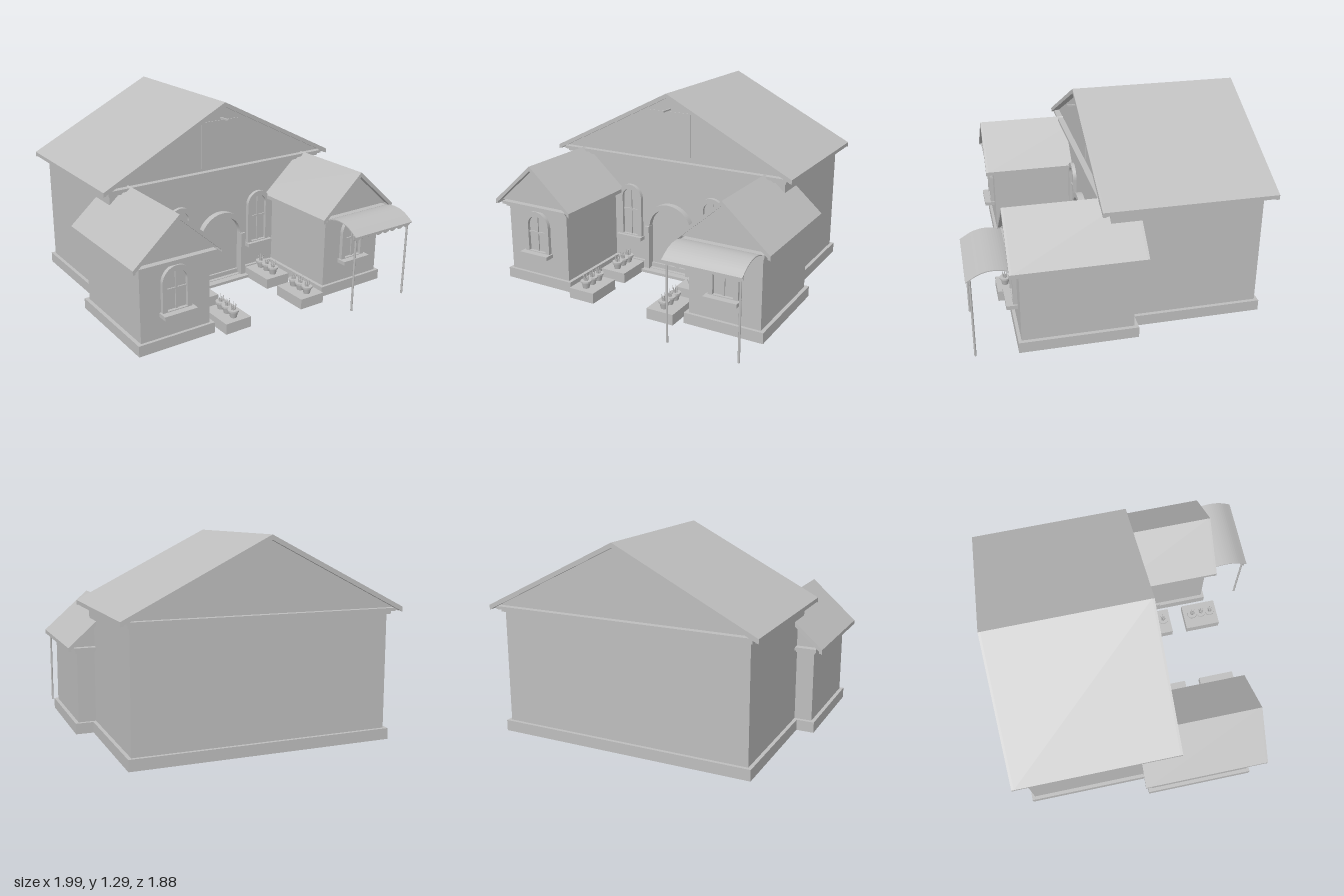
import * as THREE from 'three';

const stone = new THREE.MeshStandardMaterial({ color: 0xbebebe });
stone.name = 'plain grey';

function add(parent, name, geometry) {
  const mesh = new THREE.Mesh(geometry, stone);
  mesh.name = name;
  parent.add(mesh);
  return mesh;
}

// Box given by its two extreme corners
function box(parent, name, x0, x1, y0, y1, z0, z1) {
  const g = new THREE.BoxGeometry(x1 - x0, y1 - y0, z1 - z0);
  g.translate((x0 + x1) / 2, (y0 + y1) / 2, (z0 + z1) / 2);
  return add(parent, name, g);
}

// Shape extruded from z0 to z1
function slab(parent, name, shape, z0, z1, curveSegments = 16) {
  const g = new THREE.ExtrudeGeometry(shape, { depth: z1 - z0, bevelEnabled: false, curveSegments });
  g.translate(0, 0, z0);
  return add(parent, name, g);
}

const polygon = (pts) => new THREE.Shape(pts.map(([x, y]) => new THREE.Vector2(x, y)));

// Gable roof centred on x = 0: filled gable, two slopes, end boards and eave mouldings
function gableRoof(parent, o) {
  const chevron = (t) => polygon([
    [-o.half, o.eave], [-o.half, o.eave - t], [0, o.ridge - t],
    [o.half, o.eave - t], [o.half, o.eave], [0, o.ridge]]);
  const k = (o.ridge - o.eave) / o.half;
  const low = o.mouldTop - 0.005;
  const w = (o.ridge - 0.02 - low) / k;
  slab(parent, 'gable', polygon([[-w, low], [w, low], [0, o.ridge - 0.02]]), o.gableBack, o.gableFront);
  slab(parent, 'roofSlopes', chevron(0.022), o.back + 0.015, o.front - 0.015);
  for (const [z0, z1] of [[o.back, o.back + 0.02], [o.front - 0.02, o.front]]) {
    slab(parent, 'vergeBoard', chevron(0.03), z0, z1);
  }
  for (const s of [-1, 1]) {
    const x = s * (o.half - 0.009);
    box(parent, 'eaveEdge', x - 0.009, x + 0.009, o.eave - 0.025, o.eave, o.back, o.front);
  }
  const m = o.mouldHalf;
  box(parent, 'upperMoulding', -m, m, o.mouldTop - 0.02, o.mouldTop, o.back + 0.015, o.front - 0.015);
  box(parent, 'lowerMoulding', -m + 0.012, m - 0.012, o.mouldTop - 0.04, o.mouldTop - 0.018,
    o.back + 0.045, o.front - 0.04);
}

// Upright outline with a round top
function archOutline(Type, r, bottom, spring) {
  const p = new Type();
  p.moveTo(-r, bottom);
  p.lineTo(r, bottom);
  p.lineTo(r, spring);
  p.absarc(0, spring, r, 0, Math.PI, false);
  p.lineTo(-r, bottom);
  return p;
}

function archFrame(outer, inner, bottom, spring) {
  const s = archOutline(THREE.Shape, outer, bottom, spring);
  s.holes.push(archOutline(THREE.Path, inner, bottom + 0.005, spring));
  return s;
}

function archedWindow(o) {
  const g = new THREE.Group();
  g.name = 'archedWindow';
  slab(g, 'windowPane', archOutline(THREE.Shape, o.inner, o.bottom, o.spring), 0, 0.004);
  slab(g, 'windowFrame', archFrame(o.outer, o.inner, o.bottom, o.spring), 0, 0.025);
  box(g, 'verticalBar', -0.006, 0.006, o.bottom, o.spring + o.inner, 0, 0.012);
  box(g, 'crossBar', -o.inner, o.inner, o.bar - 0.006, o.bar + 0.006, 0, 0.012);
  box(g, 'windowSill', -o.sill, o.sill, o.bottom - 0.025, o.bottom, 0, o.sillDepth);
  return g;
}

function flowerPot() {
  const g = new THREE.Group();
  g.name = 'flowerPot';
  add(g, 'pot', new THREE.CylinderGeometry(0.031, 0.021, 0.042, 16).translate(0, 0.021, 0));
  add(g, 'potRim', new THREE.CylinderGeometry(0.036, 0.036, 0.011, 16).translate(0, 0.046, 0));
  for (let i = 0; i < 6; i++) {
    const leaf = new THREE.ConeGeometry(0.007, 0.05, 5).translate(0, 0.025, 0);
    leaf.rotateZ(-0.25).translate(0.008, 0.047, 0).rotateY(i * Math.PI / 3);
    add(g, 'leaf', leaf);
  }
  return g;
}

function wing(side) {
  const g = new THREE.Group();
  g.name = side > 0 ? 'leftWing' : 'rightWing';
  box(g, 'wingPlinth', -0.262, 0.262, 0, 0.07, -0.075, 0.66);
  box(g, 'wingWalls', -0.238, 0.238, 0.06, 0.545, -0.05, 0.64);
  gableRoof(g, {
    half: 0.305, eave: 0.57, ridge: 0.84, front: 0.7, back: -0.115,
    mouldHalf: 0.262, mouldTop: 0.562, gableFront: 0.645, gableBack: -0.055,
  });
  const win = archedWindow({ outer: 0.1, inner: 0.068, bottom: 0.235, spring: 0.42, bar: 0.37, sill: 0.112, sillDepth: 0.068 });
  win.position.z = 0.64;
  g.add(win);
  g.position.x = side * 0.692;
  return g;
}

// Curved canopy with a scalloped hem on two poles
function awning() {
  const g = new THREE.Group();
  g.name = 'awning';
  const x0 = 0.44, x1 = 0.94;
  const curve = new THREE.CatmullRomCurve3([
    [0.65, 0.545], [0.72, 0.575], [0.79, 0.583], [0.86, 0.568], [0.94, 0.522],
  ].map(([z, y]) => new THREE.Vector3(z, y, 0))).getPoints(20);
  const profile = polygon([
    ...curve.map((p) => [p.x, p.y]),
    ...curve.reverse().map((p) => [p.x, p.y - 0.006])]);
  const canopy = slab(g, 'canopy', profile, 0, x1 - x0);
  canopy.geometry.rotateY(-Math.PI / 2).translate(x1, 0, 0);

  const n = 8, step = (x1 - x0) / n;
  const hem = new THREE.Shape();
  hem.moveTo(x1, 0.528);
  hem.lineTo(x0, 0.528);
  hem.lineTo(x0, 0.5);
  for (let i = 0; i < n; i++) {
    const x = x0 + i * step;
    hem.quadraticCurveTo(x + step / 2, 0.473, x + step, 0.5);
  }
  slab(g, 'scallopedHem', hem, 0.918, 0.922, 6);
  for (const x of [0.463, 0.922]) {
    add(g, 'awningPole', new THREE.CylinderGeometry(0.007, 0.007, 0.53, 10).translate(x, 0.265, 0.915));
  }
  return g;
}

function entrance() {
  const g = new THREE.Group();
  g.name = 'entrance';
  slab(g, 'door', archOutline(THREE.Shape, 0.146, 0.035, 0.34), 0, 0.006, 24);
  slab(g, 'doorArch', archFrame(0.18, 0.146, 0.035, 0.34), 0, 0.045, 24);
  for (const s of [-1, 1]) {
    box(g, 'doorJamb', s * 0.161 - 0.017, s * 0.161 + 0.017, 0.035, 0.345, 0, 0.06);
  }
  box(g, 'doorStep', -0.185, 0.185, 0.018, 0.037, 0, 0.095);
  g.position.z = 0.075;
  return g;
}

export function createModel() {
  const model = new THREE.Group();
  model.name = 'house';

  // Main hall
  const hall = new THREE.Group();
  hall.name = 'mainHall';
  box(hall, 'hallPlinth', -0.84, 0.84, 0, 0.07, -0.895, 0.095);
  box(hall, 'hallWalls', -0.817, 0.817, 0.06, 0.82, -0.873, 0.075);
  gableRoof(hall, {
    half: 0.885, eave: 0.84, ridge: 1.287, front: 0.14, back: -0.94,
    mouldHalf: 0.845, mouldTop: 0.833, gableFront: 0.085, gableBack: -0.885,
  });
  box(hall, 'loftHatch', -0.152, 0.152, 0.852, 1.16, 0.08, 0.09);
  box(hall, 'hoistHook', -0.005, 0.005, 1.17, 1.18, 0.08, 0.175);
  model.add(hall, entrance(), awning());

  // Mirrored wings, tall windows and planters
  for (const s of [-1, 1]) {
    model.add(wing(s));
    const win = archedWindow({ outer: 0.092, inner: 0.06, bottom: 0.245, spring: 0.522, bar: 0.43, sill: 0.1, sillDepth: 0.05 });
    win.position.set(s * 0.318, 0, 0.075);
    model.add(win);
    for (const z of [0.235, 0.597]) {
      const planter = new THREE.Group();
      planter.name = 'planter';
      box(planter, 'planterBlock', -0.093, 0.093, 0, 0.07, -0.126, 0.126);
      for (const dz of [-0.068, 0, 0.068]) {
        const pot = flowerPot();
        pot.position.set(0, 0.07, dz);
        planter.add(pot);
      }
      planter.position.set(s * 0.295, 0, z);
      model.add(planter);
    }
  }
  return model;
}
